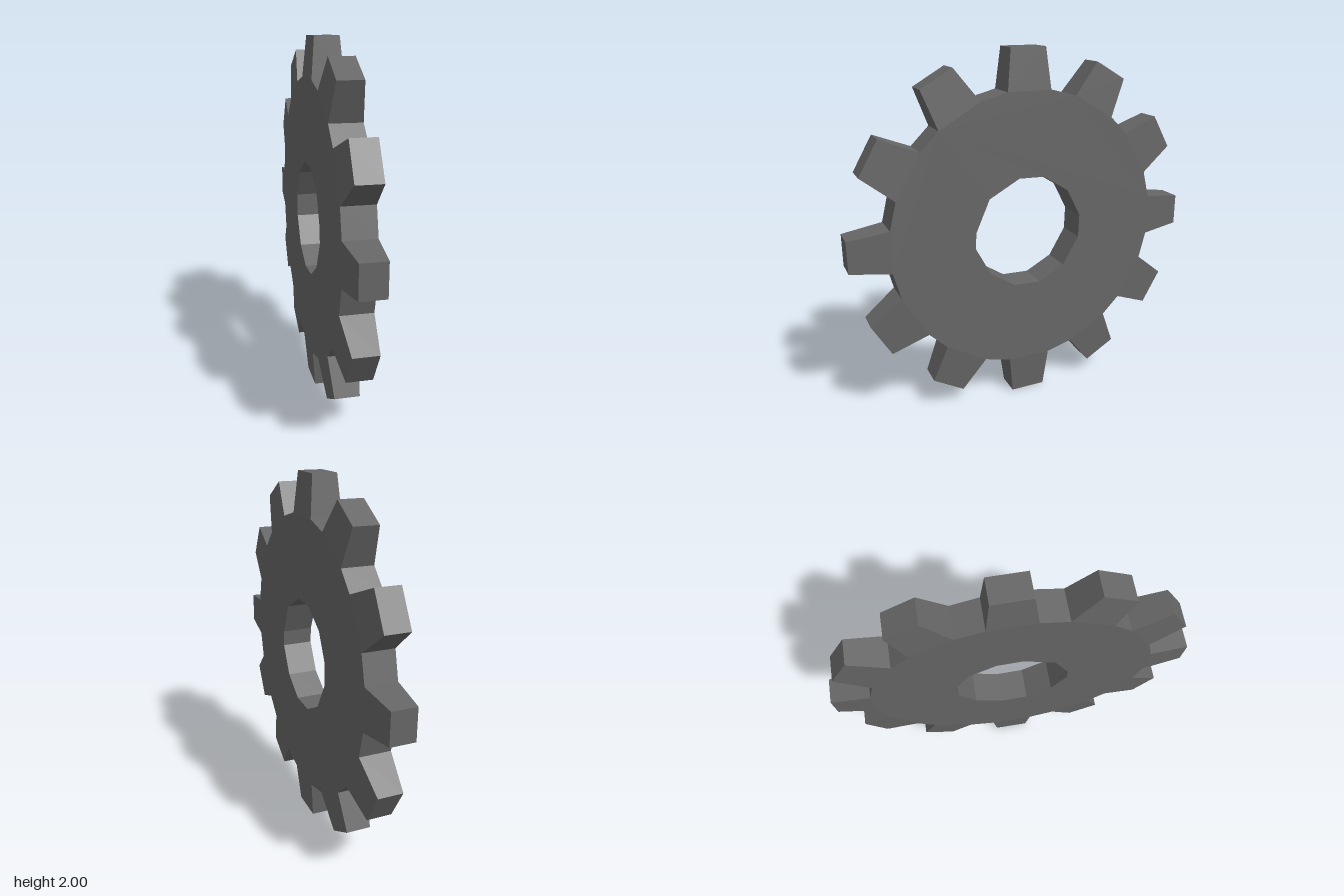
import * as THREE from 'three';

const BODY = 0.087, TIP = 0.068, ROOT = 0.788;

// point at an angle in degrees, measured clockwise from the top
const polar = (deg, r) => {
  const a = THREE.MathUtils.degToRad(deg);
  return new THREE.Vector2(Math.sin(a) * r, Math.cos(a) * r);
};

// flat-shaded geometry from a list of corners, three per triangle
function facets(corners) {
  const g = new THREE.BufferGeometry().setFromPoints(corners);
  g.computeVertexNormals();
  return g;
}

const at = (p, w) => new THREE.Vector3(p.x, p.y, w);
const quad = (a, b, c, d) => [a, b, c, a, c, d];

export function createModel() {
  const steel = new THREE.MeshStandardMaterial({ color: 0x666666 });
  steel.name = 'darkGrey';
  const model = new THREE.Group();
  model.name = 'gear';
  const wheel = new THREE.Group();
  wheel.name = 'wheel';
  model.add(wheel);
  const add = (name, corners) => {
    const mesh = new THREE.Mesh(facets(corners), steel);
    mesh.name = name;
    wheel.add(mesh);
  };

  // half angles at root and tip, and tip radius, by distance from the vertical
  const kinds = [[9.1, 5.7, 1.005], [9.6, 5.7, 1], [10.1, 6.1, 0.998], [8.5, 5, 1.004]];
  const teeth = [];
  for (let i = 0; i < 12; i++) {
    const k = i % 6;
    const [root, tip, r] = kinds[Math.min(k, 6 - k)];
    const a = i * 30;
    teeth.push({
      r0: polar(a - root, ROOT), r1: polar(a + root, ROOT),
      t0: polar(a - tip, r), t1: polar(a + tip, r),
    });
  }

  // slightly irregular bore, counterclockwise
  const bore = [
    [-0.06, 0.315], [-0.235, 0.22], [-0.315, 0.04], [-0.32, -0.05], [-0.235, -0.21], [-0.09, -0.305],
    [0.065, -0.31], [0.215, -0.23], [0.31, -0.07], [0.315, 0.06], [0.235, 0.215], [0.085, 0.31],
  ].map(([x, y]) => new THREE.Vector2(x, y));

  // both flat faces of the disc
  const rim = teeth.flatMap(t => [t.r0, t.r1]).reverse();
  const hole = bore.slice().reverse();
  const points = [...rim, ...hole];
  const faces = [];
  for (const [a, b, c] of THREE.ShapeUtils.triangulateShape(rim, [hole])) {
    faces.push(at(points[a], BODY), at(points[b], BODY), at(points[c], BODY));
    faces.push(at(points[c], -BODY), at(points[b], -BODY), at(points[a], -BODY));
  }
  add('discFaces', faces);

  // wall of the bore
  add('boreWall', bore.flatMap((p, i) => {
    const q = bore[(i + 1) % bore.length];
    return quad(at(p, BODY), at(q, BODY), at(q, -BODY), at(p, -BODY));
  }));

  teeth.forEach((t, i) => {
    const next = teeth[(i + 1) % 12];
    // tapered tooth, open at its root: two faces, the tip, two flanks
    add('tooth' + (i + 1), [
      ...quad(at(t.r0, BODY), at(t.r1, BODY), at(t.t1, TIP), at(t.t0, TIP)),
      ...quad(at(t.t0, -TIP), at(t.t1, -TIP), at(t.r1, -BODY), at(t.r0, -BODY)),
      ...quad(at(t.t0, TIP), at(t.t1, TIP), at(t.t1, -TIP), at(t.t0, -TIP)),
      ...quad(at(t.r0, BODY), at(t.t0, TIP), at(t.t0, -TIP), at(t.r0, -BODY)),
      ...quad(at(t.t1, TIP), at(t.r1, BODY), at(t.r1, -BODY), at(t.t1, -TIP)),
    ]);
    // rim between two teeth
    add('rimGap' + (i + 1),
      quad(at(t.r1, BODY), at(next.r0, BODY), at(next.r0, -BODY), at(t.r1, -BODY)));
  });

  // stand the wheel upright with its axle along x
  wheel.rotation.y = Math.PI / 2;
  wheel.position.y = 1;
  return model;
}
